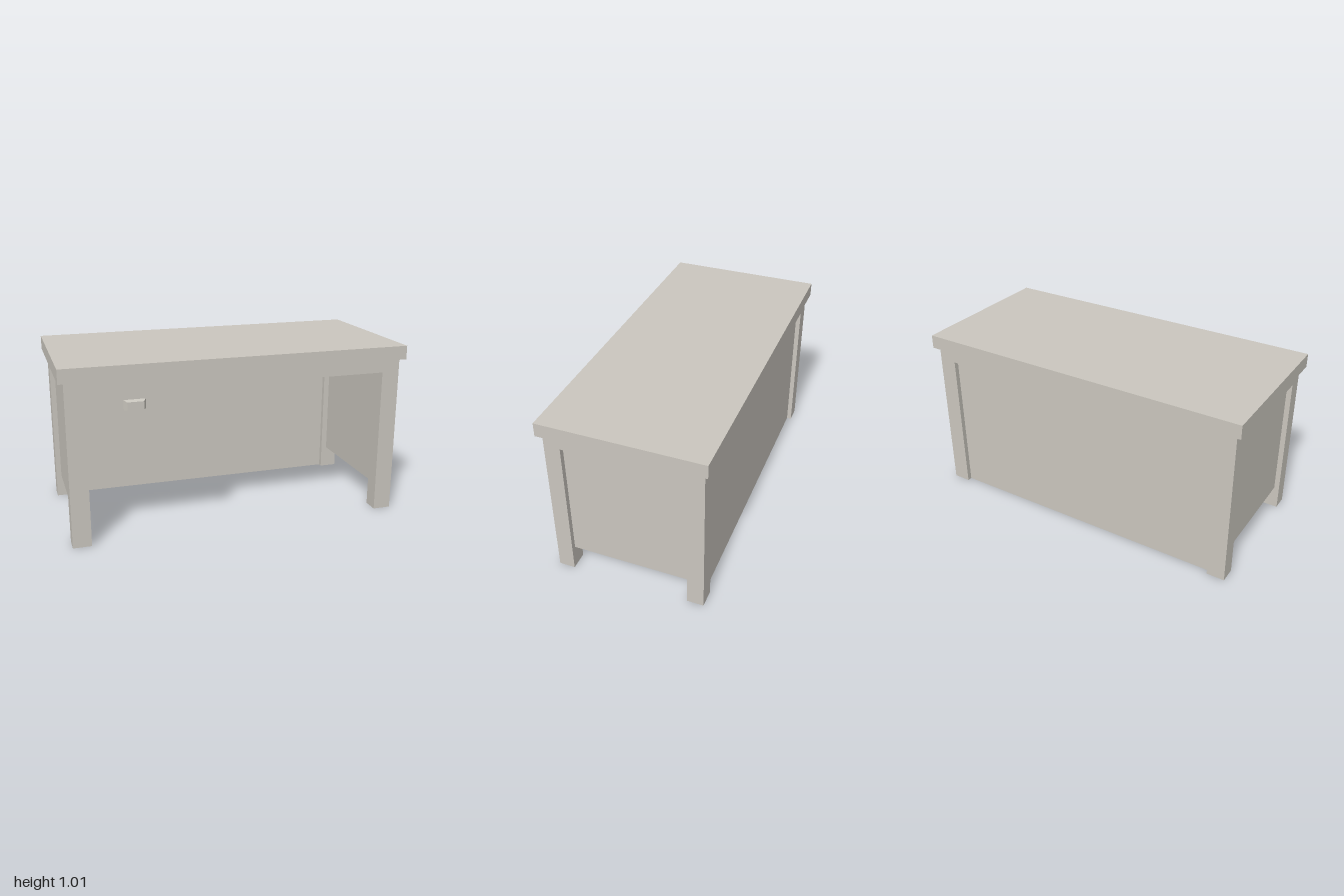
import * as THREE from 'three';

const paint = new THREE.MeshStandardMaterial({ color: 0xcac6be });
paint.name = 'warm grey paint';

// Box given by its extents on each axis
function box(name, [x0, x1], [y0, y1], [z0, z1]) {
  const mesh = new THREE.Mesh(new THREE.BoxGeometry(x1 - x0, y1 - y0, z1 - z0), paint);
  mesh.position.set((x0 + x1) / 2, (y0 + y1) / 2, (z0 + z1) / 2);
  mesh.name = name;
  return mesh;
}

export function createModel() {
  const desk = new THREE.Group();
  desk.name = 'desk';

  const legIn = 0.865, legOut = 0.97;
  const front = [0.345, 0.438], back = [-0.44, -0.345];
  const rail = [0.86, 0.935];

  desk.add(box('top', [-1, 1], [0.935, 1.015], [-0.465, 0.463]));

  // Legs, side rails and recessed side panels
  for (const side of [-1, 1]) {
    const span = (a, b) => (side > 0 ? [a, b] : [-b, -a]);
    const label = side > 0 ? 'left' : 'right';
    desk.add(
      box(label + 'FrontLeg', span(legIn, legOut), [0, 0.935], front),
      box(label + 'BackLeg', span(legIn, legOut), [0, 0.935], back),
      box(label + 'SideRail', span(legIn, legOut), rail, [back[1], front[0]]),
      box(label + 'SidePanel', span(0.9, 0.94), [0.135, 0.86], [back[1], front[0]])
    );
  }

  // Front and back rails, recessed modesty panel
  desk.add(
    box('frontRail', [-legIn, legIn], rail, front),
    box('backRail', [-legIn, legIn], rail, back),
    box('backPanel', [-legIn, legIn], [0, 0.86], [-0.412, -0.373])
  );

  // Drawer case under the front rail
  desk.add(
    box('drawerFront', [-legIn, -0.25], [0.65, 0.86], front),
    box('drawerCase', [-legIn, -0.25], [0.65, 0.935], [back[1], front[0]])
  );

  // Handle tapering towards its face
  const handle = box('drawerHandle', [-0.66, -0.54], [0.764, 0.82], [0.438, 0.467]);
  const p = handle.geometry.attributes.position;
  for (let i = 0; i < p.count; i++) {
    if (p.getZ(i) > 0) p.setXY(i, p.getX(i) * 0.76, p.getY(i) * 0.76);
  }
  handle.geometry.computeVertexNormals();
  desk.add(handle);

  return desk;
}
